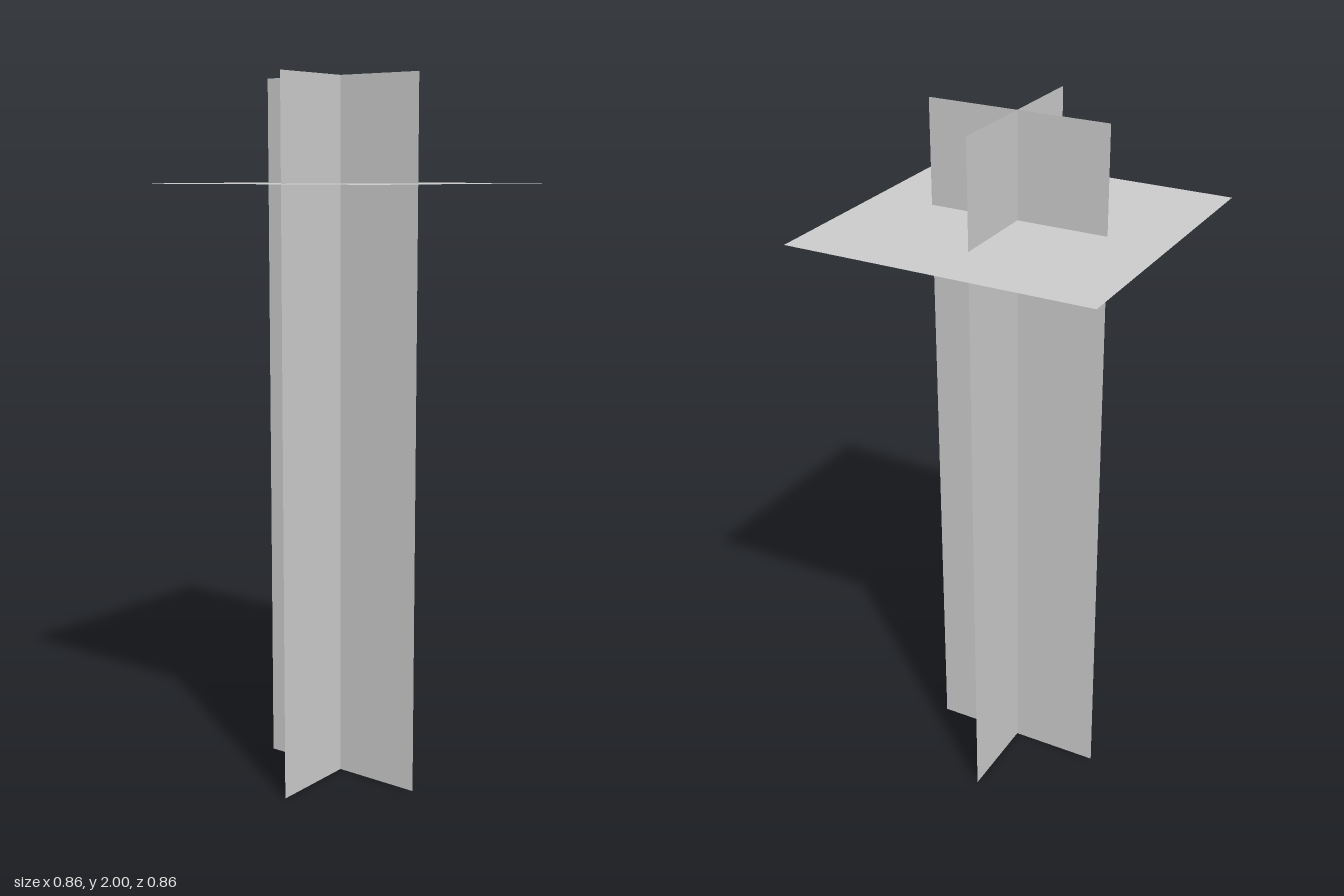
import * as THREE from 'three';

export function createModel() {
  const group = new THREE.Group();
  const material = new THREE.MeshStandardMaterial({
    color: 0xcccccc, flatShading: true, side: THREE.DoubleSide,
  });

  function addSheet(name, width, height, y) {
    const sheet = new THREE.Mesh(new THREE.PlaneGeometry(width, height), material);
    sheet.name = name;
    sheet.position.y = y;
    group.add(sheet);
    return sheet;
  }

  // Two upright sheets crossing on the central axis
  addSheet('stemAcross', 0.516, 2, 1);
  addSheet('stemLengthwise', 0.516, 2, 1).rotation.y = Math.PI / 2;

  // Flat square sheet near the top
  addSheet('topSheet', 0.86, 0.86, 1.71).rotation.x = -Math.PI / 2;

  return group;
}
